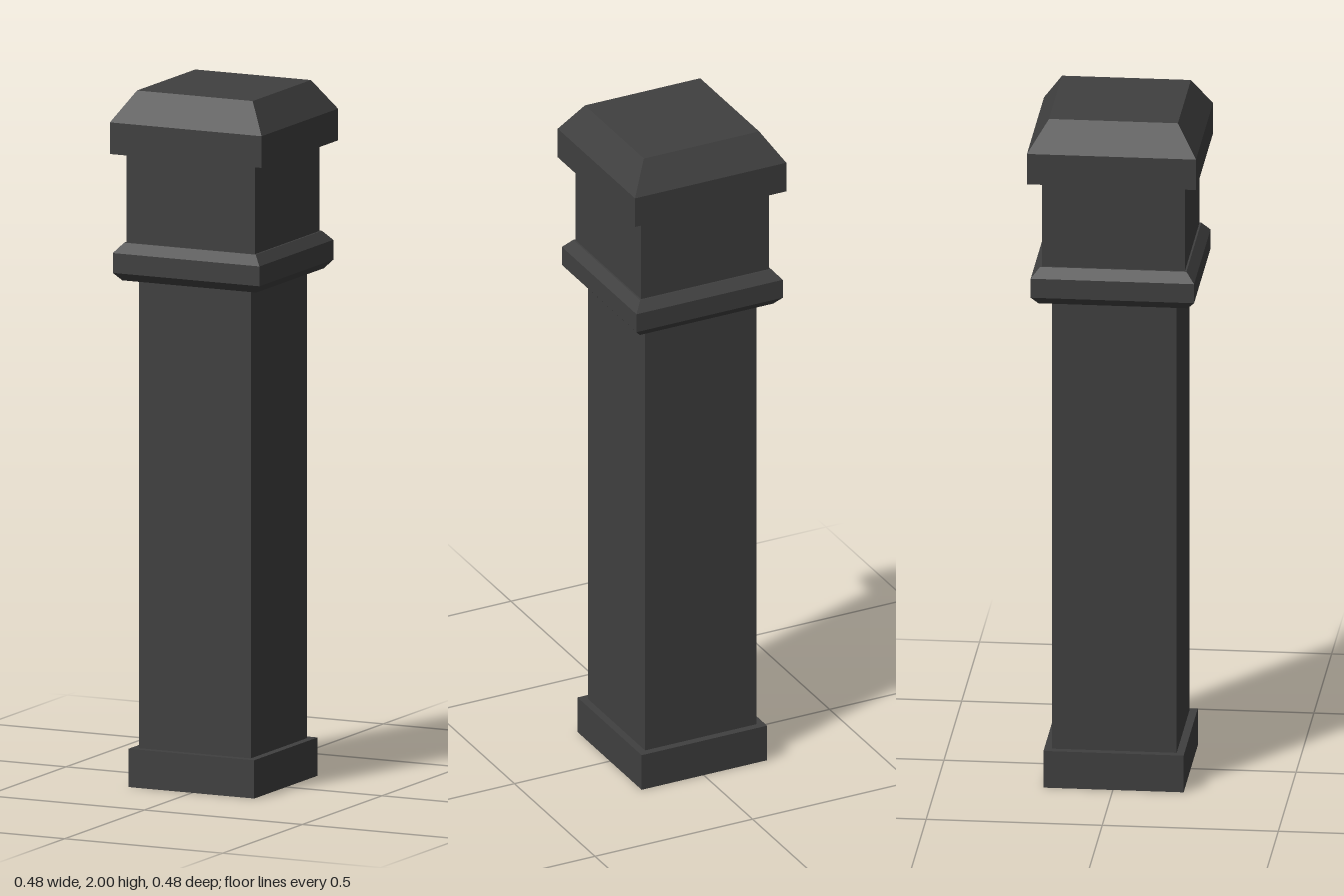
import * as THREE from 'three';

const material = new THREE.MeshStandardMaterial({ color: 0x404040, flatShading: true });

// Closed square solid from [half width, height] pairs, listed bottom to top
function squareSolid(name, profile) {
  const points = profile.map(([half, y]) => new THREE.Vector2(half * Math.SQRT2, y));
  points.unshift(new THREE.Vector2(0, profile[0][1]));
  points.push(new THREE.Vector2(0, profile[profile.length - 1][1]));
  const geometry = new THREE.LatheGeometry(points, 4, Math.PI / 4).toNonIndexed();
  geometry.computeVertexNormals();
  const mesh = new THREE.Mesh(geometry, material);
  mesh.name = name;
  return mesh;
}

export function createModel() {
  const group = new THREE.Group();
  group.name = 'post';

  // Column parts sit a hair off the cap's axis
  const column = new THREE.Group();
  column.name = 'column';
  column.position.set(-0.002, 0, 0.002);
  column.add(
    squareSolid('base', [[0.199, 0], [0.199, 0.11]]),
    squareSolid('shaft', [[0.177, 0.11], [0.177, 1.457]]),
    squareSolid('collar', [[0.212, 1.457], [0.232, 1.48], [0.232, 1.537], [0.208, 1.565]]),
    squareSolid('neck', [[0.203, 1.565], [0.203, 1.822]])
  );

  // Cap with sloped shoulders and a flat top
  const cap = squareSolid('cap', [[0.24, 1.822], [0.24, 1.913], [0.183, 2]]);

  group.add(column, cap);
  return group;
}
